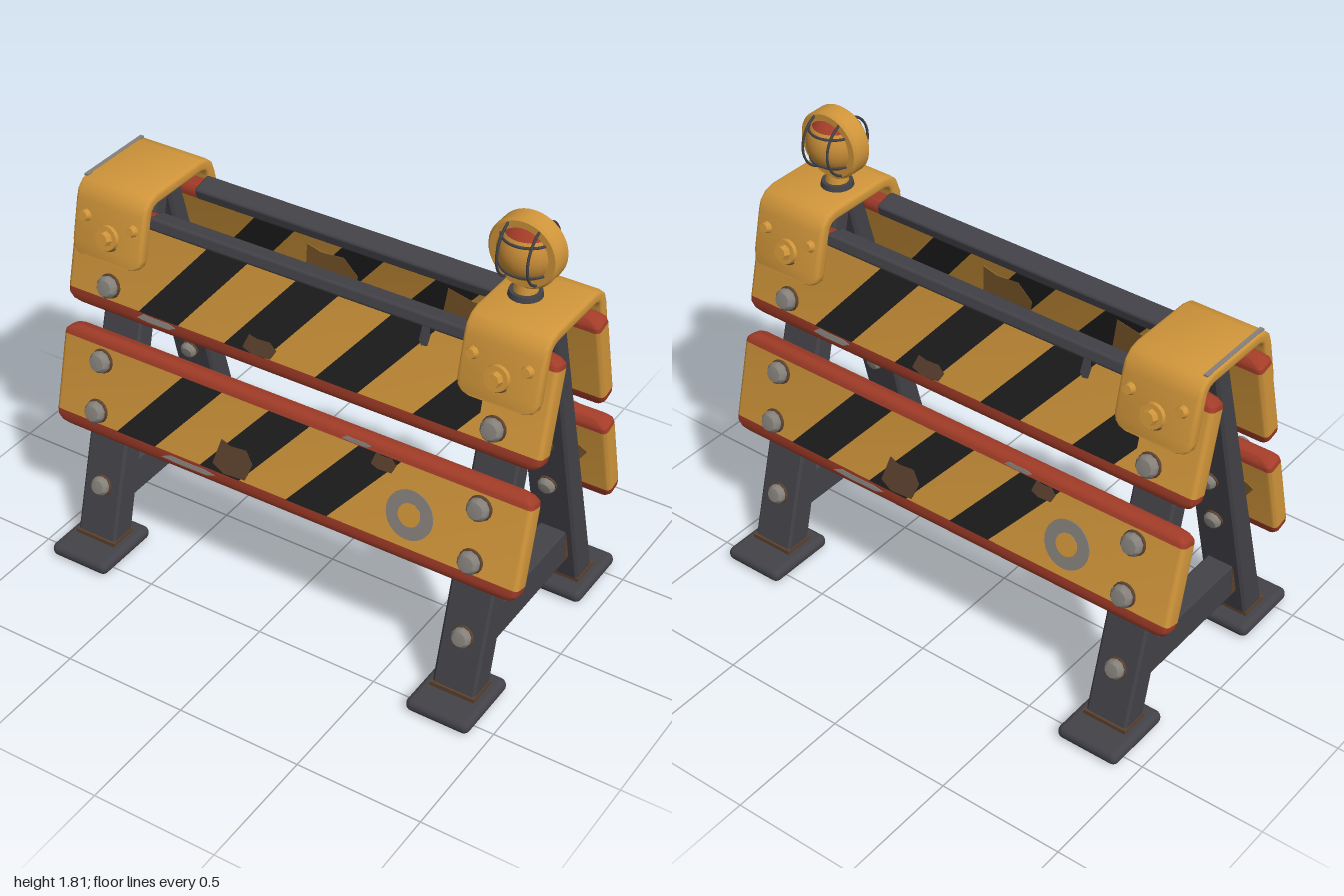
import * as THREE from 'three';
import { toCreasedNormals } from 'three/addons/utils/BufferGeometryUtils.js';
import { RoundedBoxGeometry } from 'three/addons/geometries/RoundedBoxGeometry.js';

const mat = (name, color) => Object.assign(new THREE.MeshStandardMaterial({ color }), { name });
const yellow = mat('paintYellow', 0xd0953a);
const red = mat('trimRed', 0xa23c28);
const black = mat('stripeBlack', 0x202020);
const steel = mat('darkSteel', 0x434248);
const grey = mat('boltGrey', 0x85807a);
const rust = mat('rustBrown', 0x5c422f);
const stain = mat('stainBrown', 0x8a6230);
const amber = mat('lampAmber', 0xc48a36);

const TILT = 0.245; // lean of the boards
const THICK = 0.08;

function add(parent, name, geometry, material, x = 0, y = 0, z = 0) {
  const mesh = new THREE.Mesh(geometry, material);
  mesh.name = name;
  mesh.position.set(x, y, z);
  parent.add(mesh);
  return mesh;
}

// Sweeps a rounded rectangle along stations in the yz plane.
// Station: { y, z, ny, nz (outward normal), hn (half thickness), hx (half width) }
function sweep(stations, radius = 0.018) {
  const pos = [], idx = [], n = 16;
  for (const s of stations) {
    const r = Math.min(radius, s.hn * 0.9);
    for (let c = 0; c < 4; c++) for (let k = 0; k < 4; k++) {
      const a = (c + k / 3) * Math.PI / 2;
      const u = (c === 0 || c === 3 ? 1 : -1) * (s.hn - r) + r * Math.cos(a);
      const v = (c < 2 ? 1 : -1) * (s.hx - r) + r * Math.sin(a);
      pos.push(v, s.y + u * s.ny, s.z + u * s.nz);
    }
  }
  const last = stations.length - 1;
  for (const s of [stations[0], stations[last]]) pos.push(0, s.y, s.z);
  const c0 = (last + 1) * n;
  for (let j = 0; j < n; j++) {
    const j2 = (j + 1) % n;
    for (let k = 0; k < last; k++) {
      const a = k * n + j, b = k * n + j2;
      idx.push(a, b, b + n, a, b + n, a + n);
    }
    idx.push(c0, j2, j, c0 + 1, last * n + j, last * n + j2);
  }
  const g = new THREE.BufferGeometry();
  g.setAttribute('position', new THREE.Float32BufferAttribute(pos, 3));
  g.setIndex(idx);
  return toCreasedNormals(g, 0.6);
}

// Cylinder pointing along +z, standing on its local z = 0
function stud(r0, r1, h, sides) {
  return new THREE.CylinderGeometry(r1, r0, h, sides).rotateX(Math.PI / 2).translate(0, 0, h / 2);
}

const shapeOf = points => new THREE.Shape(points.map(p => new THREE.Vector2(...p)));
const plate = points => new THREE.ExtrudeGeometry(shapeOf(points), { depth: 0.004, bevelEnabled: false });

const headProfile = [[0.043, 0], [0.043, 0.018], [0.031, 0.033], [0, 0.037]].map(p => new THREE.Vector2(...p));
const headGeometry = toCreasedNormals(new THREE.LatheGeometry(headProfile, 10).rotateX(Math.PI / 2), 0.7);

function bolt(parent, x, y, z, lean, scale = 1) {
  const g = new THREE.Group();
  g.name = 'bolt';
  add(g, 'washer', stud(0.048, 0.046, 0.01, 16), rust);
  add(g, 'boltHead', headGeometry, grey, 0, 0, 0.007);
  g.position.set(x, y, z);
  g.rotation.x = lean;
  g.scale.setScalar(scale);
  parent.add(g);
}

// Diagonal stripe from lo to hi, cut off towards the right end
function stripeGeometry(x, lo, hi) {
  const slant = 0.26, w = 0.175, max = 0.75;
  if (x + w + slant <= max) return plate([[x, lo], [x + w, lo], [x + w + slant, hi], [x + slant, hi]]);
  const cut = lo + (hi - lo) * (max - x - w) / slant;
  return plate([[x, lo], [x + w, lo], [max, cut], [max, hi], [x + slant, hi]]);
}

// Irregular thin patch on a board face: scuffs and stains
function patch(parent, name, material, x, y, w, h, z = THICK / 2) {
  const outline = [[-0.5, -0.3], [-0.2, -0.5], [0.35, -0.45], [0.5, 0.1], [0.3, 0.45], [-0.1, 0.4], [-0.35, 0.5]];
  add(parent, name, plate(outline.map(([a, b]) => [a * w, b * h])), material, x, y, z);
}

// Board with red edges and a yellow middle; the inner face has its own worn stripes
function board(parent, name, cy, cz, h, stripes, innerStripes) {
  const g = new THREE.Group(), inner = new THREE.Group();
  g.name = name;
  g.position.set(0, cy, cz);
  g.rotation.x = -TILT;
  inner.name = 'innerFace';
  inner.rotation.y = Math.PI;
  g.add(inner);
  const level = (y, inset) => ({ y, z: 0, ny: 0, nz: 1, hn: THICK / 2 - inset * 0.5, hx: 1 - inset });
  const lo = -h / 2 + 0.055, hi = h / 2 - 0.042;
  add(g, 'bottomTrim', sweep([level(-h / 2, 0.04), level(-h / 2 + 0.01, 0.018), level(-h / 2 + 0.03, 0.003), level(lo, 0)]), red);
  add(g, 'paintedFace', sweep([level(lo, 0), level(hi, 0)]), yellow);
  add(g, 'topTrim', sweep([level(hi, 0), level(h / 2 - 0.025, 0.003), level(h / 2 - 0.01, 0.018), level(h / 2, 0.04)]), red);
  for (const x of stripes) add(g, 'stripe', stripeGeometry(x, lo, hi), black, 0, 0, THICK / 2 - 0.001);
  for (const x of innerStripes) add(inner, 'innerStripe', stripeGeometry(x, lo, hi), black, 0, 0, THICK / 2 - 0.001);
  parent.add(g);
  return { face: g, inner };
}

function legGeometry() {
  const s = shapeOf([[0.07, 1.45], [0, 1.45], [0, 1.41], [0.34, 0.04], [0.455, 0.04]]);
  const g = new THREE.ExtrudeGeometry(s, { depth: 0.155, bevelSize: 0.01, bevelThickness: 0.01, bevelOffset: -0.01, bevelSegments: 1 });
  return g.translate(0, 0, -0.0775).rotateY(-Math.PI / 2);
}

// One leaning half: two boards, two legs, feet and bolts
function makeSide() {
  const side = new THREE.Group();
  const { face: upper, inner: upperIn } = board(side, 'upperBoard', 1.2, 0.19, 0.42, [-0.67, -0.29, 0.1, 0.5], [-0.67, -0.29, 0.1]);
  const { face: lower, inner: lowerIn } = board(side, 'lowerBoard', 0.707, 0.312, 0.408, [-0.71, -0.33, 0.05], [-0.6, -0.2]);
  add(upper, 'topRail', new RoundedBoxGeometry(1.34, 0.05, 0.09, 2, 0.012), steel, 0, 0.19, 0);

  // Bare metal on the trim, brown stains and a drip on the paint
  patch(upper, 'scuff', grey, -0.59, -0.172, 0.17, 0.024, THICK / 2 - 0.001);
  patch(lower, 'scuff', grey, -0.38, -0.17, 0.24, 0.02, THICK / 2 - 0.001);
  patch(lower, 'scuff', grey, 0.3, 0.174, 0.12, 0.016, THICK / 2 - 0.001);
  patch(upper, 'stain', rust, -0.14, -0.12, 0.14, 0.07);
  patch(lower, 'stain', rust, -0.19, -0.08, 0.17, 0.13);
  patch(lower, 'stain', rust, 0.42, 0.135, 0.1, 0.06);
  patch(upper, 'drip', steel, 0.5, 0.14, 0.04, 0.08);
  patch(upperIn, 'innerStain', stain, 0.55, 0.01, 0.4, 0.28);
  patch(upperIn, 'innerStain', stain, -0.1, 0.02, 0.24, 0.22);
  patch(lowerIn, 'innerStain', stain, 0.56, 0.005, 0.72, 0.31);

  // Worn round patch
  add(lower, 'wornPatch', stud(0.095, 0.095, 0.005, 24), grey, 0.55, -0.02, THICK / 2 - 0.001);
  add(lower, 'wornPatchCentre', stud(0.045, 0.045, 0.007, 20), yellow, 0.55, -0.02, THICK / 2 - 0.001);

  const leg = legGeometry();
  for (const sx of [-1, 1]) {
    const x = sx * 0.8;
    add(side, 'leg', leg, steel, x);
    add(side, 'foot', new RoundedBoxGeometry(0.26, 0.055, 0.3, 3, 0.026), steel, x, 0.0275, 0.42);
    add(side, 'rustCollar', new THREE.BoxGeometry(0.182, 0.02, 0.122), rust, x, 0.062, 0.394);
    bolt(side, x, 0.28, 0.388, -0.27, 0.9);
    bolt(side, x, 0.79, 0.155, Math.PI - 0.245, 0.8);
    bolt(side, x, 0.576, 0.208, Math.PI - 0.245, 0.8);
    bolt(upper, sx * 0.81, -0.1, THICK / 2, 0);
    bolt(lower, sx * 0.81, 0.106, THICK / 2, 0);
    bolt(lower, sx * 0.81, -0.1, THICK / 2, 0);
    // Saddle fixings
    add(upper, 'saddleRust', stud(0.056, 0.053, 0.006, 20), rust, sx * 0.81, 0.1, 0.076);
    add(upper, 'saddleFlange', stud(0.05, 0.046, 0.022, 16), yellow, sx * 0.81, 0.1, 0.076);
    add(upper, 'saddleBolt', toCreasedNormals(stud(0.032, 0.026, 0.045, 8), 0.5), yellow, sx * 0.81, 0.1, 0.08);
    for (const dx of [-0.105, 0.105])
      add(upper, 'saddleRivet', stud(0.026, 0.018, 0.032, 10), yellow, sx * 0.81 + dx, 0.158, 0.074);
  }
  return side;
}

// Bent plate over the top of the frame
function saddleGeometry() {
  const half = [[0.244, 1.215, 0.112], [0.242, 1.223, 0.135], [0.239, 1.238, 0.15], [0.234, 1.262, 0.156], [0.197, 1.42, 0.156],
    [0.187, 1.448, 0.156], [0.165, 1.468, 0.156], [0.135, 1.476, 0.156]];
  const pts = [...half, ...half.map(([z, y, w]) => [-z, y, w]).reverse()];
  return sweep(pts.map(([z, y, hx], i) => {
    const p = pts[Math.max(i - 1, 0)], q = pts[Math.min(i + 1, pts.length - 1)];
    const tz = q[0] - p[0], ty = q[1] - p[1], l = Math.hypot(tz, ty);
    return { y, z, ny: -tz / l, nz: ty / l, hn: 0.024, hx };
  }), 0.014);
}

function makeLamp() {
  const lamp = new THREE.Group();
  lamp.name = 'warningLamp';
  add(lamp, 'lampBase', new THREE.CylinderGeometry(0.058, 0.064, 0.028, 20), steel, 0, -0.172);
  add(lamp, 'lampNeck', new THREE.CylinderGeometry(0.038, 0.045, 0.06, 16), yellow, 0, -0.135);
  add(lamp, 'lampGlobe', new THREE.SphereGeometry(0.107, 28, 18, 0, Math.PI * 2, 0.85, Math.PI - 0.85), amber);
  add(lamp, 'lampRedTop', new THREE.SphereGeometry(0.107, 28, 8, 0, Math.PI * 2, 0, 0.85), red);
  const rim = [[0.098, -0.042], [0.124, -0.042], [0.133, -0.032], [0.133, 0.032], [0.124, 0.042], [0.098, 0.042], [0.098, -0.042]];
  const band = new THREE.LatheGeometry(rim.map(p => new THREE.Vector2(...p)), 40).rotateX(Math.PI / 2);
  add(lamp, 'lampBand', toCreasedNormals(band, 0.6), yellow);
  // Wire cage
  for (const d of [-0.058, 0.058]) {
    add(lamp, 'cageWire', new THREE.TorusGeometry(0.111, 0.005, 6, 36), steel, d, 0, 0).rotation.y = Math.PI / 2;
    add(lamp, 'cageHoop', new THREE.TorusGeometry(0.093, 0.005, 6, 36), steel, 0, d, 0).rotation.x = Math.PI / 2;
  }
  lamp.position.set(0.77, 1.678, 0);
  return lamp;
}

export function createModel() {
  const model = new THREE.Group();
  model.name = 'roadBarrier';
  const front = makeSide(), back = makeSide();
  front.name = 'frontSide';
  back.name = 'backSide';
  back.rotation.y = Math.PI;
  model.add(front, back);
  const saddle = saddleGeometry();
  for (const sx of [-1, 1]) {
    add(model, 'saddle', saddle, yellow, sx * 0.814);
    add(model, 'crossBar', new RoundedBoxGeometry(0.11, 0.15, 0.65, 1, 0.008), steel, sx * 0.8, 0.253, 0);
    // Rust where the bar meets the legs
    for (const sz of [-1, 1])
      add(model, 'barRust', new THREE.BoxGeometry(0.114, 0.13, 0.03), rust, sx * 0.8, 0.253, sz * 0.285);
  }
  add(model, 'saddleWear', new THREE.BoxGeometry(0.016, 0.006, 0.34), grey, -0.955, 1.4985, 0);
  model.add(makeLamp());
  return model;
}
